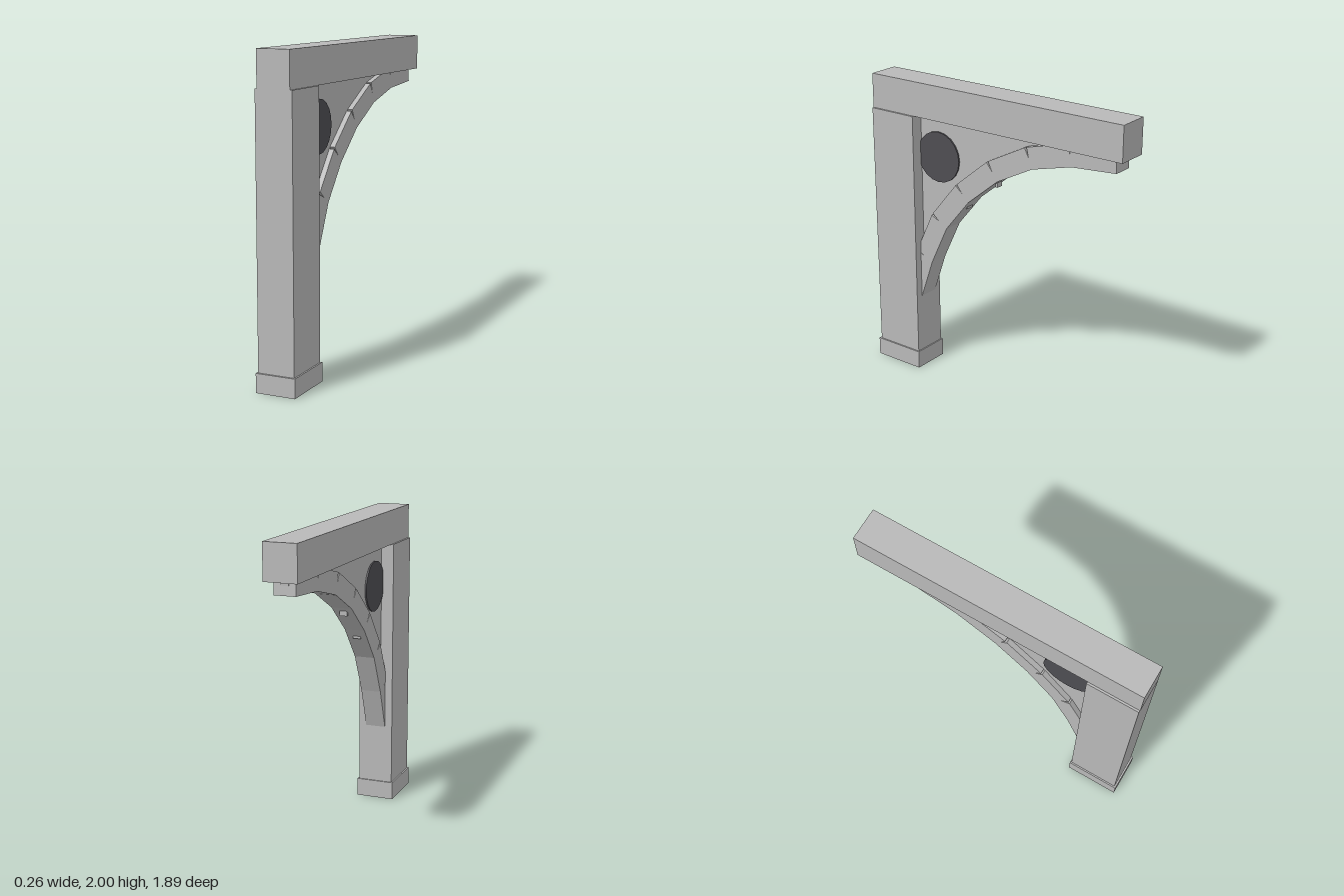
import * as THREE from 'three';

export function createModel() {
  const model = new THREE.Group();
  model.name = 'archBracket';
  const stone = new THREE.MeshStandardMaterial({ color: 0xb8b8b8 });
  stone.name = 'lightGrey';
  const dark = new THREE.MeshStandardMaterial({ color: 0x4e4d52 });
  dark.name = 'darkGrey';

  function add(name, geometry, material, y = 0, z = 0) {
    const mesh = new THREE.Mesh(geometry, material);
    mesh.name = name;
    mesh.position.set(0, y, z);
    model.add(mesh);
    return mesh;
  }
  // Box given by its width and its y and z ranges
  function block(name, width, y0, y1, z0, z1) {
    return add(name, new THREE.BoxGeometry(width, y1 - y0, z1 - z0), stone, (y0 + y1) / 2, (z0 + z1) / 2);
  }

  // Post, foot and beam
  block('foot', 0.256, 0, 0.12, 0.59, 0.947);
  block('post', 0.236, 0.1, 1.775, 0.598, 0.935);
  block('beam', 0.21, 1.775, 2, -0.944, 0.937);

  // Centre line of the arch as [z, y]; straight blocks meet at each point
  const line = [
    [0.68, 0.49], [0.566, 0.815], [0.435, 1.09], [0.243, 1.323],
    [0.005, 1.519], [-0.27, 1.661], [-0.566, 1.737], [-0.88, 1.761],
  ];
  for (let i = 0; i < line.length - 1; i++) {
    const [z0, y0] = line[i];
    const [z1, y1] = line[i + 1];
    const dz = z1 - z0, dy = y1 - y0;
    const segment = add('archBlock', new THREE.BoxGeometry(0.136, 0.138, Math.hypot(dz, dy)),
      stone, (y0 + y1) / 2, (z0 + z1) / 2);
    segment.rotation.x = Math.atan2(-dy, dz);
  }

  // Small pegs at the joints and at the free end
  for (const [z, y] of line.slice(3, 5)) block('jointPeg', 0.05, y - 0.115, y + 0.05, z - 0.008, z + 0.008);
  block('endPeg', 0.05, 1.75, 1.78, -0.887, -0.86);

  // Thin panel filling the corner between post, beam and arch
  const outline = new THREE.Shape();
  outline.moveTo(0.61, 1.78);
  line.slice(1, 7).forEach(([z, y], i) => outline.lineTo(i === 0 ? 0.61 : z, y));
  outline.lineTo(-0.566, 1.78);
  outline.closePath();
  const panel = new THREE.ExtrudeGeometry(outline, { depth: 0.07, bevelEnabled: false });
  panel.translate(0, 0, -0.035);
  panel.rotateY(-Math.PI / 2);
  add('cornerPanel', panel, stone);

  // Round medallion through the panel
  const disc = new THREE.CylinderGeometry(0.167, 0.167, 0.09, 20);
  disc.rotateZ(Math.PI / 2);
  add('medallion', disc, dark, 1.517, 0.452);

  return model;
}
